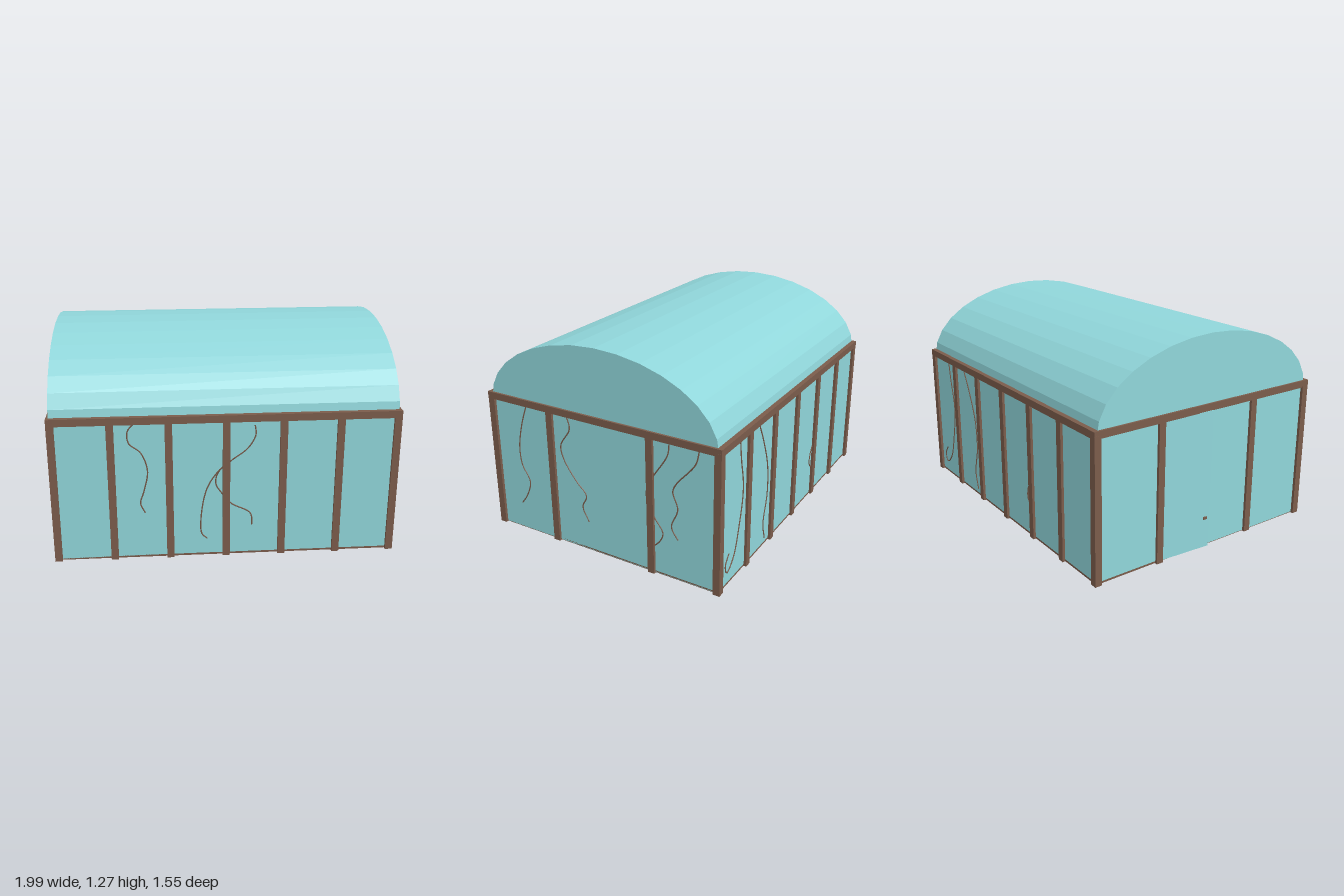
import * as THREE from 'three';

const glass = new THREE.MeshStandardMaterial({ color: 0x90d6da });
glass.name = 'pale aqua glass';
const wood = new THREE.MeshStandardMaterial({ color: 0x7b5c4b });
wood.name = 'brown wood';

const HX = 0.97, HZ = 0.755;   // wall planes
const EAVE = 0.835;

export function createModel() {
  const model = new THREE.Group();
  model.name = 'greenhouse';

  function box(name, mat, [w, h, d], [x, y, z], parent = model) {
    const mesh = new THREE.Mesh(new THREE.BoxGeometry(w, h, d), mat);
    mesh.name = name;
    mesh.position.set(x, y, z);
    parent.add(mesh);
    return mesh;
  }

  // Floor slab
  box('floor', wood, [1.95, 0.012, 1.52], [0, 0.008, 0]);

  // Glass walls; the left end keeps a gap for the door on -x
  const wallY = 0.005 + EAVE / 2, t = 0.01;
  for (const s of [-1, 1]) box('longWall', glass, [1.94, EAVE, t], [0, wallY, s * HZ]);
  box('endWall', glass, [t, EAVE, 1.5], [HX, wallY, 0]);
  box('endWallBesideDoor', glass, [t, EAVE, 0.42], [-HX, wallY, -0.54]);
  box('endWallBesideDoor', glass, [t, EAVE, 0.75], [-HX, wallY, 0.375]);

  // Door leaf, hinged at its post and standing slightly ajar
  const door = new THREE.Group();
  door.name = 'door';
  door.position.set(-HX, 0, -0.33);
  door.rotation.y = -0.065;
  box('doorPanel', glass, [t, 0.83, 0.34], [0, 0.42, 0.17], door);
  box('doorHandle', wood, [0.016, 0.015, 0.025], [-0.004, 0.19, 0.31], door);
  model.add(door);

  // Barrel roof: half ellipse with flat facets, run along x
  const n = 16, profile = [];
  for (let i = 0; i <= n; i++) {
    const a = (Math.PI * i) / n;
    profile.push(new THREE.Vector2(HZ * Math.cos(a), EAVE + 0.435 * Math.sin(a)));
  }
  const roofGeo = new THREE.ExtrudeGeometry(new THREE.Shape(profile), { depth: 1.956, bevelEnabled: false });
  roofGeo.translate(0, 0, -0.978).rotateY(Math.PI / 2);
  const roof = new THREE.Mesh(roofGeo, glass);
  roof.name = 'barrelRoof';
  model.add(roof);

  // Posts along the long sides and between the corners of the ends
  const postH = 0.85;
  for (const s of [-1, 1]) {
    for (let i = -3; i <= 3; i++) {
      box('longSidePost', wood, [0.042, postH, 0.042], [i * 0.3235, postH / 2, s * HZ]);
    }
    for (const z of [-0.34, 0.33]) {
      box('endPost', wood, [0.042, postH, 0.042], [s * HX, postH / 2, z]);
    }
  }

  // Eave beams around the top of the walls
  for (const s of [-1, 1]) {
    box('longBeam', wood, [1.98, 0.042, 0.045], [0, 0.854, s * HZ]);
    box('endBeam', wood, [0.042, 0.042, 1.555], [s * HX, 0.854, 0]);
  }

  // Thin vines trailing on the walls; place() maps (u, height) onto a wall
  function vine(points, place) {
    const curve = new THREE.CatmullRomCurve3(points.map(([u, y]) => new THREE.Vector3(...place(u, y))));
    const mesh = new THREE.Mesh(new THREE.TubeGeometry(curve, 48, 0.004, 5), wood);
    mesh.name = 'vine';
    model.add(mesh);
  }
  const front = (u, y) => [u, y, HZ + 0.006];
  const back = (u, y) => [u, y, -HZ - 0.006];
  const side = (u, y) => [HX + 0.006, y, u];

  vine([[-0.52, 0.83], [-0.55, 0.79], [-0.545, 0.72], [-0.48, 0.66], [-0.445, 0.55], [-0.47, 0.42], [-0.49, 0.35], [-0.465, 0.29]], front);
  vine([[0.16, 0.81], [0.165, 0.75], [0.12, 0.67], [0.03, 0.6], [-0.045, 0.53], [-0.06, 0.46], [-0.02, 0.39], [0.03, 0.33], [0.14, 0.265], [0.15, 0.19]], front);
  vine([[0, 0.58], [-0.05, 0.53], [-0.11, 0.43], [-0.145, 0.25], [-0.14, 0.14], [-0.11, 0.11]], front);

  vine([[0.505, 0.83], [0.55, 0.7], [0.58, 0.55], [0.57, 0.44], [0.52, 0.34], [0.55, 0.24], [0.595, 0.175]], side);
  vine([[0.21, 0.83], [0.195, 0.76], [0.265, 0.64], [0.25, 0.56], [0.17, 0.44], [0.1, 0.36], [0.13, 0.28], [0.09, 0.19]], side);
  vine([[-0.46, 0.83], [-0.45, 0.76], [-0.37, 0.63], [-0.32, 0.55], [-0.315, 0.45], [-0.36, 0.36], [-0.415, 0.27], [-0.37, 0.19], [-0.31, 0.16]], side);
  vine([[-0.64, 0.83], [-0.62, 0.75], [-0.5, 0.6], [-0.48, 0.55], [-0.51, 0.45], [-0.47, 0.33], [-0.51, 0.26]], side);

  vine([[0.755, 0.83], [0.74, 0.72], [0.705, 0.52], [0.75, 0.29], [0.806, 0.14], [0.88, 0.08], [0.9, 0.135], [0.86, 0.195]], back);
  vine([[0.52, 0.82], [0.46, 0.7], [0.395, 0.52], [0.386, 0.335], [0.427, 0.155], [0.4, 0.04]], back);
  vine([[-0.31, 0.36], [-0.275, 0.3], [-0.27, 0.24], [-0.31, 0.19]], back);

  return model;
}
